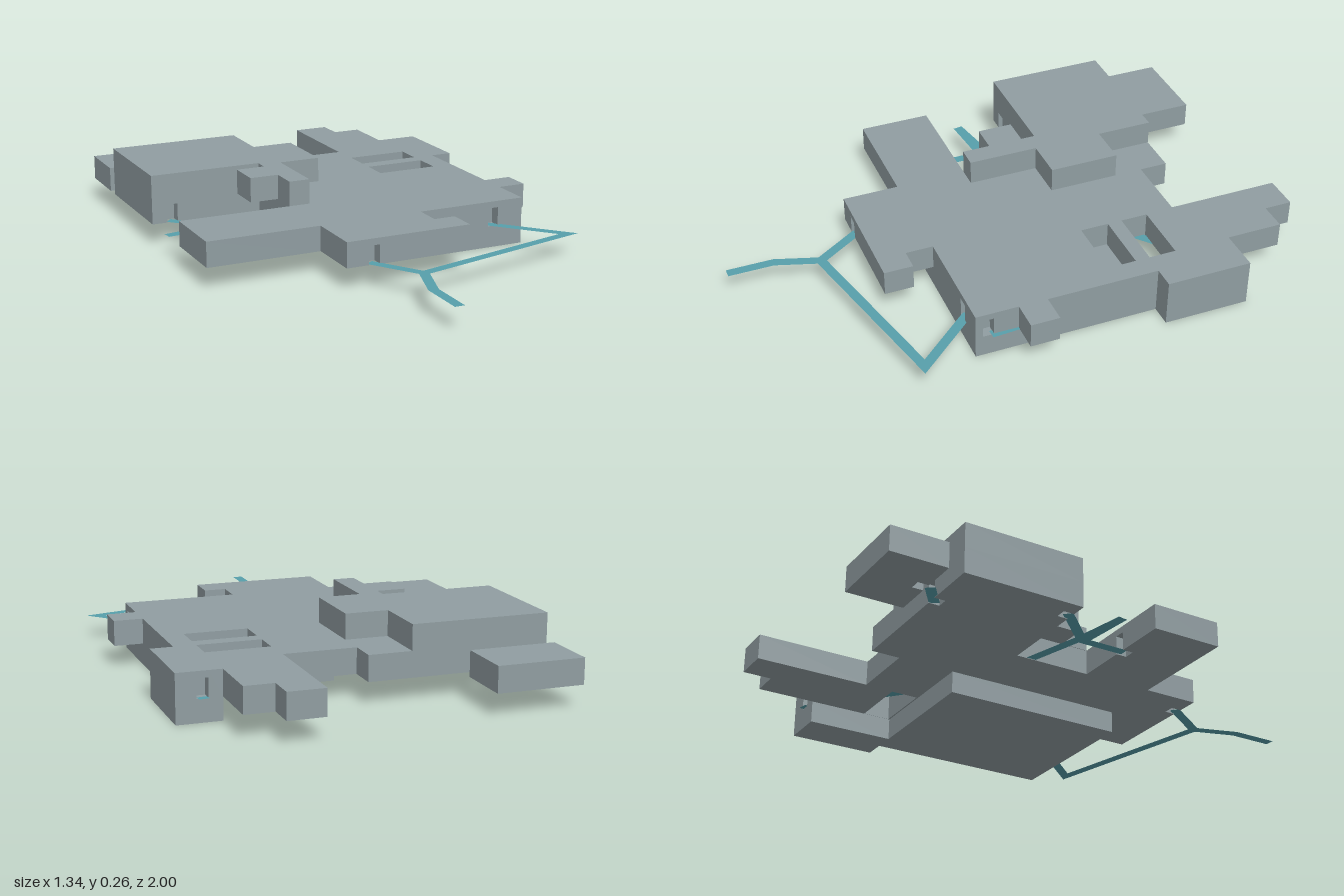
import * as THREE from 'three';

const stone = new THREE.MeshStandardMaterial({ color: 0x909da1 });
stone.name = 'grey stone';
const trail = new THREE.MeshStandardMaterial({ color: 0x579fab, side: THREE.DoubleSide });
trail.name = 'teal path';

const LOW = 0, MID = 0.08, HIGH = 0.172, TOP = 0.263;
const DOOR = { half: 0.02, depth: 0.04, height: 0.068 };

// Finds the first door that lies on the wall from a to b
const onWall = (a, b, [x, z]) => {
  const len = Math.hypot(b[0] - a[0], b[1] - a[1]);
  const u = [(b[0] - a[0]) / len, (b[1] - a[1]) / len];
  const t = (x - a[0]) * u[0] + (z - a[1]) * u[1];
  const off = Math.abs((x - a[0]) * u[1] - (z - a[1]) * u[0]);
  return off < 1e-4 && t > DOOR.half && t < len - DOOR.half ? u : null;
};

// Cuts door recesses into a plan outline of [x, z] corners.
// Outlines run so that the inside is at (uz, -ux) of each wall direction.
function withDoors(outline, doors) {
  const points = [];
  const lintels = [];
  outline.forEach((a, i) => {
    const b = outline[(i + 1) % outline.length];
    points.push(a);
    for (const d of doors) {
      const u = onWall(a, b, d);
      if (!u) continue;
      const inward = [u[1], -u[0]];
      const at = (s, k) => [d[0] + u[0] * s + inward[0] * k, d[1] + u[1] * s + inward[1] * k];
      const h = DOOR.half, k = DOOR.depth;
      points.push(at(-h, 0), at(-h, k), at(h, k), at(h, 0));
      lintels.push([at(-h, 0), at(h, 0), at(h, k), at(-h, k)]);
    }
  });
  return { points, lintels };
}

const vectors = (pts) => pts.map(([x, z]) => new THREE.Vector2(x, -z));
const rect = (x0, x1, z0, z1) => [[x0, z1], [x1, z1], [x1, z0], [x0, z0]];

// Extrudes a plan outline upward from y0 to y1
function slab(name, outline, y0, y1, holes = []) {
  const shape = new THREE.Shape(vectors(outline));
  holes.forEach((h) => shape.holes.push(new THREE.Path(vectors(h))));
  const geo = new THREE.ExtrudeGeometry(shape, { depth: y1 - y0, bevelEnabled: false });
  geo.rotateX(-Math.PI / 2).translate(0, y0, 0);
  const mesh = new THREE.Mesh(geo, stone);
  mesh.name = name;
  return mesh;
}

// A storey whose walls have doorways at floor level
function storeyWithDoors(name, outline, y0, y1, doors, holes) {
  const group = new THREE.Group();
  group.name = name;
  const { points, lintels } = withDoors(outline, doors);
  group.add(slab('rooms', points, y0, y1, holes));
  lintels.forEach((l) => group.add(slab('lintel', l, y0 + DOOR.height, y1)));
  return group;
}

// Flat path strip through a few [x, z] points, mitred at the bends
function ribbon(pts, width = 0.036) {
  const p = pts.map(([x, z]) => new THREE.Vector2(x, z));
  const pos = [], index = [];
  p.forEach((c, i) => {
    const d0 = c.clone().sub(p[Math.max(i - 1, 0)]).normalize();
    const d1 = p[Math.min(i + 1, p.length - 1)].clone().sub(c).normalize();
    const t = d0.clone().add(d1).normalize();
    const d = i ? d0 : d1;
    const w = width / 2 / Math.max(0.5, t.dot(d));
    pos.push(c.x - t.y * w, MID + 0.002, c.y + t.x * w);
    pos.push(c.x + t.y * w, MID + 0.002, c.y - t.x * w);
    if (i) index.push(2 * i - 2, 2 * i, 2 * i - 1, 2 * i - 1, 2 * i, 2 * i + 1);
  });
  const geo = new THREE.BufferGeometry();
  geo.setAttribute('position', new THREE.Float32BufferAttribute(pos, 3));
  geo.setIndex(index);
  geo.computeVertexNormals();
  const mesh = new THREE.Mesh(geo, trail);
  mesh.name = 'path';
  return mesh;
}

export function createModel() {
  const model = new THREE.Group();
  model.name = 'dungeonMap';

  // Lower storey
  model.add(slab('lowerStorey', [
    [-0.015, 0.307], [0.56, 0.307], [0.56, -0.372], [0.64, -0.372],
    [0.64, -0.688], [0.482, -0.688], [0.482, -0.372], [-0.015, -0.372],
  ], LOW, MID));

  // Main storey with two open wells and doorways
  const main = [
    [-0.667, 0.307], [-0.248, 0.307], [-0.248, 0.515], [0.222, 0.515], [0.222, 0.408],
    [0.142, 0.408], [0.142, 0.307], [0.56, 0.307], [0.56, 0.15], [0.665, 0.15],
    [0.665, 0.044], [0.56, 0.044], [0.56, -0.372], [0.64, -0.372], [0.64, -0.688],
    [0.482, -0.688], [0.482, -0.897], [0.377, -0.897], [0.377, -1], [0.245, -1],
    [0.245, -0.583], [-0.015, -0.583], [-0.015, -0.688], [-0.667, -0.688],
    [-0.667, -0.243], [-0.246, -0.243], [-0.246, 0.044], [-0.667, 0.044],
  ];
  const doors = [
    [-0.145, 0.515], [0.44, 0.307], [0.56, 0.26], [0.55, -0.688],
    [-0.45, -0.688], [-0.59, -0.243], [-0.455, 0.044],
  ];
  const wells = [rect(0.25, 0.481, -0.477, -0.377), rect(0.25, 0.481, -0.323, -0.218)];
  model.add(storeyWithDoors('mainStorey', main, MID, HIGH, doors, wells));

  // Detached room at the back
  model.add(storeyWithDoors('detachedRoom', rect(-0.667, -0.355, -0.95, -0.742),
    MID, HIGH, [[-0.515, -0.742]]));

  // Upper storey
  model.add(slab('upperStorey', [
    [-0.667, -0.243], [-0.248, -0.243], [-0.248, -0.19], [-0.355, -0.19],
    [-0.355, -0.06], [-0.248, -0.06], [-0.248, 0.044], [-0.17, 0.044],
    [-0.17, -0.217], [-0.015, -0.217], [-0.015, -0.477], [-0.17, -0.477],
    [-0.17, -0.688], [-0.667, -0.688],
  ], HIGH, TOP));

  // Paths linking the doorways
  const paths = new THREE.Group();
  paths.name = 'paths';
  [
    [[-0.155, 0.495], [-0.04, 0.67], [-0.092, 0.83], [-0.092, 1]],
    [[-0.04, 0.67], [0.63, 0.512], [0.43, 0.285]],
    [[0.56, 0.25], [0.553, 0.13]],
    [[0.325, -0.51], [0.23, -0.43]],
    [[0.55, -0.675], [0.546, -0.7]],
    [[-0.52, -0.73], [-0.435, -0.67]],
    [[-0.6, -0.26], [-0.47, -0.125]],
    [[-0.667, -0.088], [-0.47, -0.125], [-0.235, -0.19]],
    [[-0.667, -0.088], [-0.44, -0.11]],
    [[-0.457, -0.125], [-0.457, 0.06]],
  ].forEach((pts) => paths.add(ribbon(pts)));
  model.add(paths);

  return model;
}
